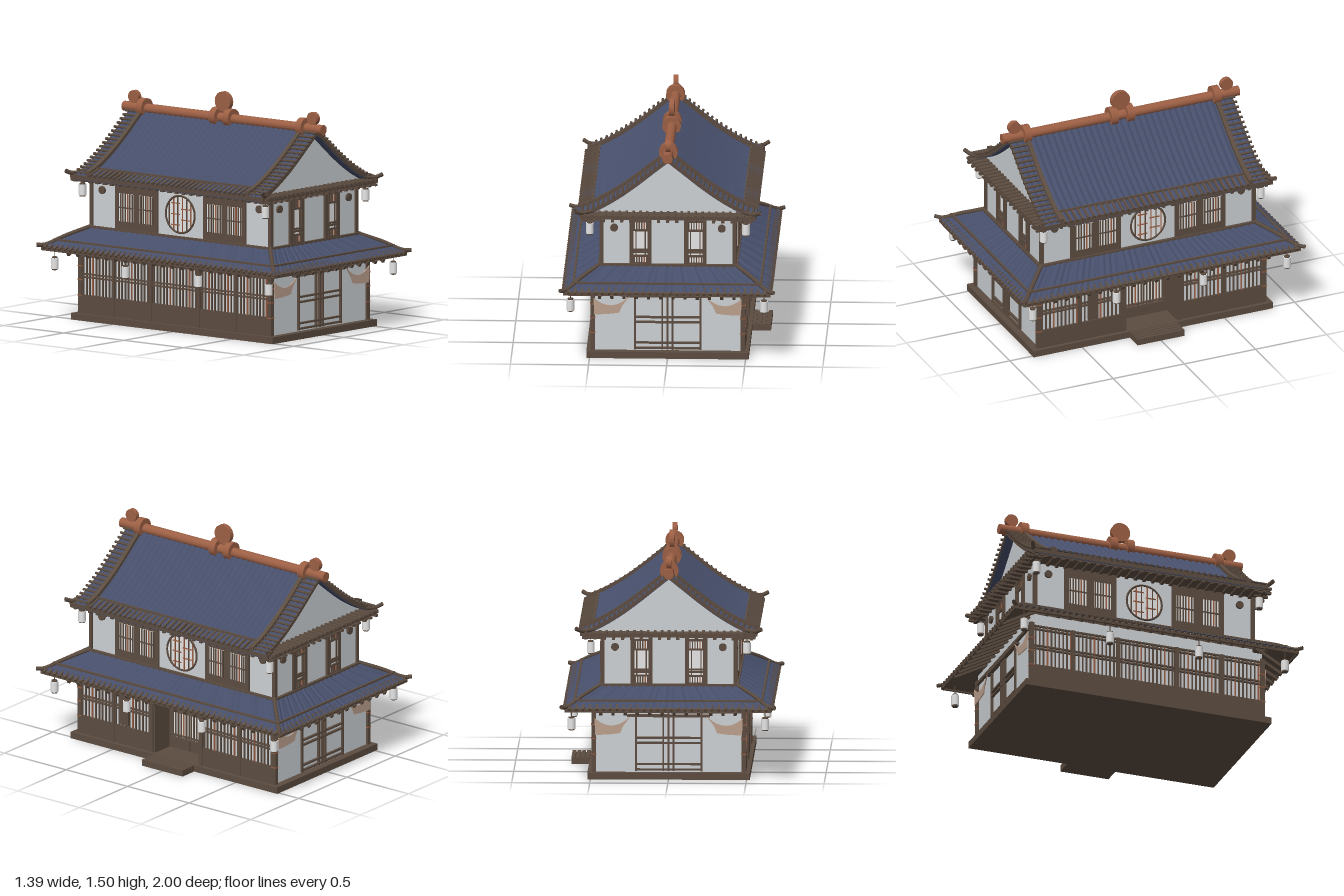
import * as THREE from 'three';

const mat = (name, color, side = THREE.FrontSide) => {
  const m = new THREE.MeshStandardMaterial({ color, side });
  m.name = name;
  return m;
};
const WOOD = mat('dark wood', 0x5c4c40, THREE.DoubleSide);
const WALL = mat('plaster', 0xcdd1d4);
const TILE = mat('blue tile', 0x464e6a, THREE.DoubleSide);
const COPPER = mat('copper', 0x9c5f44);
const PAPER = mat('lantern paper', 0xe6e6e6);
const CLOTH = mat('cloth', 0xbda08e, THREE.DoubleSide);

function add(parent, name, geo, material, x = 0, y = 0, z = 0) {
  const m = new THREE.Mesh(geo, material);
  m.name = name;
  m.position.set(x, y, z);
  parent.add(m);
  return m;
}
const box = (p, name, material, w, h, d, x, y, z) => add(p, name, new THREE.BoxGeometry(w, h, d), material, x, y, z);
const cyl = (p, name, material, r, len, axis, x, y, z, seg = 24) => {
  const g = new THREE.CylinderGeometry(r, r, len, seg);
  if (axis === 'x') g.rotateZ(Math.PI / 2);
  if (axis === 'z') g.rotateX(Math.PI / 2);
  return add(p, name, g, material, x, y, z);
};
const group = (p, name, angle = 0) => {
  const g = new THREE.Group();
  g.name = name;
  g.rotation.y = angle;
  p.add(g);
  return g;
};
const tube = (p, name, material, pts, r) => add(p, name,
  new THREE.TubeGeometry(new THREE.CatmullRomCurve3(pts.map(a => new THREE.Vector3(...a))), 24, r, 6), material);
// evenly spaced values from -half to half
const spread = (half, pitch) => {
  const n = Math.round(2 * half / pitch);
  return Array.from({ length: n + 1 }, (_, i) => -half + 2 * half * i / n);
};
// grid surface from f(u, v), both 0..1
function surface(f, nu, nv) {
  const pos = [], idx = [];
  for (let j = 0; j <= nv; j++) for (let i = 0; i <= nu; i++) pos.push(...f(i / nu, j / nv));
  for (let j = 0; j < nv; j++) for (let i = 0; i < nu; i++) {
    const a = j * (nu + 1) + i, b = a + nu + 1;
    idx.push(a, b, a + 1, a + 1, b, b + 1);
  }
  const g = new THREE.BufferGeometry();
  g.setAttribute('position', new THREE.Float32BufferAttribute(pos, 3));
  g.setIndex(idx);
  g.computeVertexNormals();
  return g;
}
const bump = s => 0.012 * Math.abs(Math.sin(Math.PI * s / 0.043));
// vertical bars with a few copper ones mixed in
function lattice(p, x, y, w, h, z, pitch) {
  spread(w / 2, pitch).forEach((dx, i) =>
    box(p, 'latticeBar', i % 6 === 4 ? COPPER : WOOD, 0.008, h, 0.01, x + dx, y, z));
}
function lantern(p, x, y, z) {
  cyl(p, 'lantern', PAPER, 0.025, 0.07, 'y', x, y, z, 12);
  for (const s of [-1, 1]) cyl(p, 'lanternCap', WOOD, 0.019, 0.008, 'y', x, y + s * 0.039, z, 12);
  cyl(p, 'lanternCord', WOOD, 0.003, 0.07, 'y', x, y + 0.07, z, 6);
}

function lowerRoofSide(p, halfTop, halfBot, dTop, dBot) {
  const lerp = THREE.MathUtils.lerp, tilt = Math.atan2(0.12, dBot - dTop);
  const f = (lift, wavy) => (u, v) => {
    const x = (u * 2 - 1) * lerp(halfTop, halfBot, v);
    return [x, lerp(0.595, 0.475, v) + lift + (wavy ? bump(x) : 0), lerp(dTop, dBot, v)];
  };
  add(p, 'lowerRoofTiles', surface(f(0, true), Math.round(halfBot * 280), 1), TILE);
  add(p, 'lowerRoofUnderside', surface(f(-0.02, false), 1, 1), WOOD);
  box(p, 'eaveBoard', WOOD, halfBot * 2, 0.022, 0.014, 0, 0.463, dBot - 0.004);
  box(p, 'roofTopTrim', WOOD, halfTop * 2 + 0.02, 0.016, 0.02, 0, 0.6, dTop + 0.008);
  box(p, 'eaveBatten', WOOD, halfBot * 2 - 0.1, 0.012, 0.014, 0, 0.52, dBot - 0.06);
  for (const x of spread(halfBot - 0.03, 0.043)) {
    const log = box(p, 'eaveLog', WOOD, 0.014, 0.016, 0.055, x, 0.482, dBot - 0.012);
    log.rotation.x = tilt;
  }
  for (const x of spread(halfTop, 0.08)) {
    const r = box(p, 'rafter', WOOD, 0.02, 0.025, 0.25, x, 0.503, (dTop + dBot) / 2 + 0.005);
    r.rotation.x = tilt;
  }
}

function gableFacade(p) {
  // ground floor: sliding screens
  const z = 0.797;
  for (const x of [-0.21, -0.035, 0, 0.03, 0.21]) box(p, 'screenPost', WOOD, 0.012, 0.38, 0.016, x, 0.24, z);
  for (const y of [0.06, 0.095, 0.232, 0.265]) box(p, 'screenRail', WOOD, 0.43, 0.012, 0.018, 0, y, z);
  box(p, 'curtainRail', WOOD, 0.53, 0.016, 0.03, 0, 0.408, z + 0.004);
  box(p, 'topBeam', WOOD, 0.98, 0.02, 0.02, 0, 0.435, z);
  for (const s of [-1, 1]) {
    const c = new THREE.Shape();
    c.moveTo(s * 0.24, 0.41);
    c.quadraticCurveTo(s * 0.36, 0.29, s * 0.475, 0.395);
    c.lineTo(s * 0.47, 0.285);
    c.quadraticCurveTo(s * 0.38, 0.285, s * 0.31, 0.298);
    c.lineTo(s * 0.29, 0.345);
    add(p, 'curtain', new THREE.ExtrudeGeometry(c, { depth: 0.006, bevelEnabled: false }), CLOTH, 0, 0, z + 0.015);
    // upper floor windows
    const x = s * 0.175, w = 0.75;
    box(p, 'windowPane', PAPER, 0.14, 0.29, 0.004, x, 0.75, w - 0.003);
    for (const d of [-1, 1]) box(p, 'windowJamb', WOOD, 0.026, 0.3, 0.02, x + d * 0.058, 0.755, w);
    for (const y of [0.61, 0.66, 0.685, 0.7, 0.83, 0.89]) box(p, 'windowRail', WOOD, 0.14, 0.012, 0.018, x, y, w);
    lattice(p, x, 0.86, 0.08, 0.06, w, 0.016);
    lattice(p, x, 0.635, 0.08, 0.05, w, 0.016);
    box(p, 'windowMullion', WOOD, 0.008, 0.17, 0.01, x - 0.03, 0.745, w);
    box(p, 'windowMullion', WOOD, 0.008, 0.17, 0.01, x + 0.03, 0.745, w);
    cyl(p, 'wallDisc', WOOD, 0.025, 0.02, 'z', s * 0.345, 0.845, w, 20);
  }
}

function longFacade(p, hasDoor) {
  const z = 0.485, spans = hasDoor ? [[-0.495, 0.6], [0.495, 0.6]] : [[0, 1.58]];
  for (const [x, w] of spans) {
    box(p, 'lowerPanel', WOOD, w, 0.115, 0.02, x, 0.1, z);
    lattice(p, x, 0.295, w, 0.28, z + 0.003, 0.027);
    for (const y of [0.16, 0.28, 0.3, 0.415, 0.437]) box(p, 'latticeRail', WOOD, w, 0.01, 0.014, x, y, z + 0.003);
  }
  for (const x of [-0.51, -0.2, 0.2, 0.51]) box(p, 'wallPost', WOOD, 0.024, 0.4, 0.03, x, 0.243, z);
  // upper floor
  const u = 0.43;
  for (const s of [-1, 1]) {
    box(p, 'windowPanel', WOOD, 0.355, 0.31, 0.016, s * 0.367, 0.755, u);
    for (const x of [0.2825, 0.4525]) {
      box(p, 'windowPane', PAPER, 0.125, 0.18, 0.006, s * x, 0.75, u + 0.008);
      lattice(p, s * x, 0.75, 0.115, 0.18, u + 0.012, 0.019);
      box(p, 'windowRail', WOOD, 0.125, 0.008, 0.012, s * x, 0.75, u + 0.012);
    }
    cyl(p, 'wallDisc', WOOD, 0.025, 0.02, 'z', s * 0.655, 0.845, u, 20);
  }
  // round window
  cyl(p, 'roundPane', PAPER, 0.12, 0.008, 'z', 0, 0.75, u, 40);
  add(p, 'roundFrame', new THREE.TorusGeometry(0.12, 0.007, 6, 40), WOOD, 0, 0.75, u + 0.006);
  [-0.09, -0.055, -0.02, 0.02, 0.055, 0.09].forEach((x, i) => box(p, 'roundBar', i % 2 ? COPPER : WOOD, 0.006,
    2 * Math.sqrt(0.0142 - x * x), 0.01, x, 0.75, u + 0.006));
  [-0.07, -0.035, 0, 0.035, 0.07].forEach((y, i) => box(p, 'roundRail', COPPER, 0.07, 0.006, 0.01,
    i % 2 ? 0.045 : -0.04, 0.75 + y, u + 0.006));
}

function entrance(p) {
  const z = 0.335;
  box(p, 'doorPanel', WOOD, 0.38, 0.4, 0.012, 0, 0.243, z);
  for (const s of [-1, 1]) {
    box(p, 'recessWall', WOOD, 0.02, 0.4, 0.16, s * 0.185, 0.243, 0.41);
    box(p, 'doorPane', PAPER, 0.14, 0.17, 0.006, s * 0.074, 0.212, z + 0.008);
    lattice(p, s * 0.074, 0.212, 0.13, 0.17, z + 0.014, 0.022);
    box(p, 'transom', WOOD, 0.14, 0.06, 0.016, s * 0.074, 0.345, z + 0.008);
    box(p, 'kickPanel', WOOD, 0.14, 0.06, 0.016, s * 0.074, 0.08, z + 0.008);
  }
  for (const y of [0.12, 0.14, 0.3, 0.385]) box(p, 'doorRail', WOOD, 0.3, 0.01, 0.02, 0, y, z + 0.014);
  box(p, 'lintel', WOOD, 0.4, 0.055, 0.02, 0, 0.413, 0.485);
  box(p, 'plaque', WOOD, 0.07, 0.2, 0.016, -0.415, 0.28, 0.502);
  // slatted step
  box(p, 'step', WOOD, 0.33, 0.03, 0.12, 0, 0.015, 0.58);
  for (let i = 0; i < 4; i++) box(p, 'stepSlat', WOOD, 0.33, 0.012, 0.024, 0, 0.036, 0.535 + i * 0.031);
}

function upperRoof(p) {
  const curve = new THREE.CatmullRomCurve3([[0, 1.315], [0.1, 1.235], [0.2, 1.155], [0.3, 1.082], [0.4, 1.02],
    [0.5, 0.97], [0.565, 0.948]].map(([x, y]) => new THREE.Vector3(x, y, 0)));
  const pts = curve.getSpacedPoints(20);
  // solid following the roof curve, from drop a down to drop b
  const slab = (name, material, a, b, depth, z) => {
    const top = [...pts.slice(1).reverse().map(q => [-q.x, q.y]), ...pts.map(q => [q.x, q.y])];
    const under = b === null ? [] : top.map(([x, y]) => [x, y - b]).reverse();
    const s = new THREE.Shape([...top.map(([x, y]) => [x, y - a]), ...under].map(q => new THREE.Vector2(...q)));
    return add(p, name, new THREE.ExtrudeGeometry(s, { depth, bevelEnabled: false }), material, 0, 0, z - depth / 2);
  };
  slab('roofSlab', TILE, 0.002, 0.03, 1.55, 0);
  slab('gableWall', WALL, 0.012, null, 1.44, 0);
  for (const s of [-1, 1]) {
    add(p, 'upperRoofTiles', surface((u, v) => {
      const q = curve.getPointAt(v), z = (u * 2 - 1) * 0.775;
      return [s * q.x, q.y + bump(z), z];
    }, 216, 14), TILE);
    slab('vergeRib', WOOD, -0.03, 0.0, 0.028, s * 0.665);
    slab('vergeBoard', WOOD, 0.0, 0.025, 0.014, s * 0.775);
    for (const t of [-1, 1]) {
      for (let i = 1; i <= 18; i++) {
        const q = curve.getPointAt(i / 18.5);
        cyl(p, 'vergeLog', WOOD, 0.009, 0.125, 'z', s * q.x, q.y + 0.01, t * 0.732, 6);
      }
      tube(p, 'cornerHorn', WOOD, [[s * 0.48, 0.962, t * 0.77], [s * 0.55, 0.955, t * 0.8], [s * 0.595, 0.972, t * 0.825]], 0.014);
    }
    // side eaves
    for (const z of spread(0.64, 0.04)) {
      const log = box(p, 'eaveLog', WOOD, 0.1, 0.016, 0.014, s * 0.53, 0.968, z);
      log.rotation.z = -s * 0.33;
    }
    box(p, 'eaveBatten', WOOD, 0.012, 0.03, 1.34, s * 0.485, 0.982, 0);
    box(p, 'eaveBoard', WOOD, 0.014, 0.026, 1.6, s * 0.56, 0.935, 0);
    // skirt below the gable
    box(p, 'gableSkirt', WOOD, 1.1, 0.02, 0.11, 0, 0.932, s * 0.77);
    for (const x of spread(0.53, 0.045)) box(p, 'skirtLog', WOOD, 0.016, 0.016, 0.12, x, 0.942, s * 0.775);
    for (const x of spread(0.53, 0.06)) box(p, 'rafter', WOOD, 0.02, 0.016, 0.1, x, 0.91, s * 0.78);
    for (const z of spread(0.78, 0.06)) box(p, 'rafter', WOOD, 0.13, 0.016, 0.02, s * 0.49, 0.91, z);
  }
  box(p, 'soffit', WOOD, 1.1, 0.016, 1.62, 0, 0.922, 0);
  // ridge with clamps and discs
  cyl(p, 'ridgePole', COPPER, 0.032, 1.66, 'z', 0, 1.325, 0);
  for (const z of [-0.665, -0.057, 0.057, 0.665]) cyl(p, 'ridgeClamp', COPPER, 0.06, 0.048, 'z', 0, 1.33, z);
  for (const [z, y, r] of [[-0.745, 1.392, 0.042], [0, 1.432, 0.064], [0.745, 1.392, 0.042]])
    cyl(p, 'ridgeDisc', COPPER, r, 0.032, 'x', 0, y, z, 32);
}

export function createModel() {
  const root = new THREE.Group();
  root.name = 'house';
  box(root, 'base', WOOD, 1.04, 0.043, 1.68, 0, 0.0215, 0);

  // walls, with a recess for the entrance on the left side
  box(root, 'groundWalls', WALL, 0.81, 0.46, 1.58, -0.075, 0.27, 0);
  for (const s of [-1, 1]) box(root, 'groundWallEnd', WALL, 0.15, 0.46, 0.6, 0.405, 0.27, s * 0.49);
  box(root, 'recessCeiling', WOOD, 0.15, 0.03, 0.38, 0.405, 0.45, 0);
  box(root, 'upperWalls', WALL, 0.85, 0.44, 1.49, 0, 0.7, 0);
  for (const x of [-1, 1]) for (const z of [-1, 1]) {
    box(root, 'groundPost', WOOD, 0.03, 0.42, 0.03, x * 0.48, 0.25, z * 0.79);
    for (const y of [0.16, 0.26, 0.35]) box(root, 'postBand', COPPER, 0.034, 0.007, 0.034, x * 0.48, y, z * 0.79);
    box(root, 'upperPost', WOOD, 0.024, 0.32, 0.024, x * 0.425, 0.76, z * 0.745);
    tube(root, 'hipRidge', WOOD, [[x * 0.43, 0.605, z * 0.745], [x * 0.55, 0.545, z * 0.86],
      [x * 0.645, 0.488, z * 0.955], [x * 0.685, 0.487, z * 0.99]], 0.014);
    lantern(root, x * 0.62, 0.37, z * 0.893);
    lantern(root, x * 0.62, 0.37, z * 0.305);
    lantern(root, x * 0.5, 0.845, z * 0.763);
  }

  for (let i = 0; i < 4; i++) {
    const side = group(root, ['frontSide', 'leftSide', 'backSide', 'rightSide'][i], i * Math.PI / 2);
    if (i % 2) {
      lowerRoofSide(side, 0.75, 0.97, 0.43, 0.66);
      longFacade(side, i === 1);
    } else {
      lowerRoofSide(side, 0.43, 0.66, 0.75, 0.97);
      gableFacade(side);
    }
    if (i === 1) entrance(side);
  }
  upperRoof(group(root, 'upperRoof'));
  return root;
}
